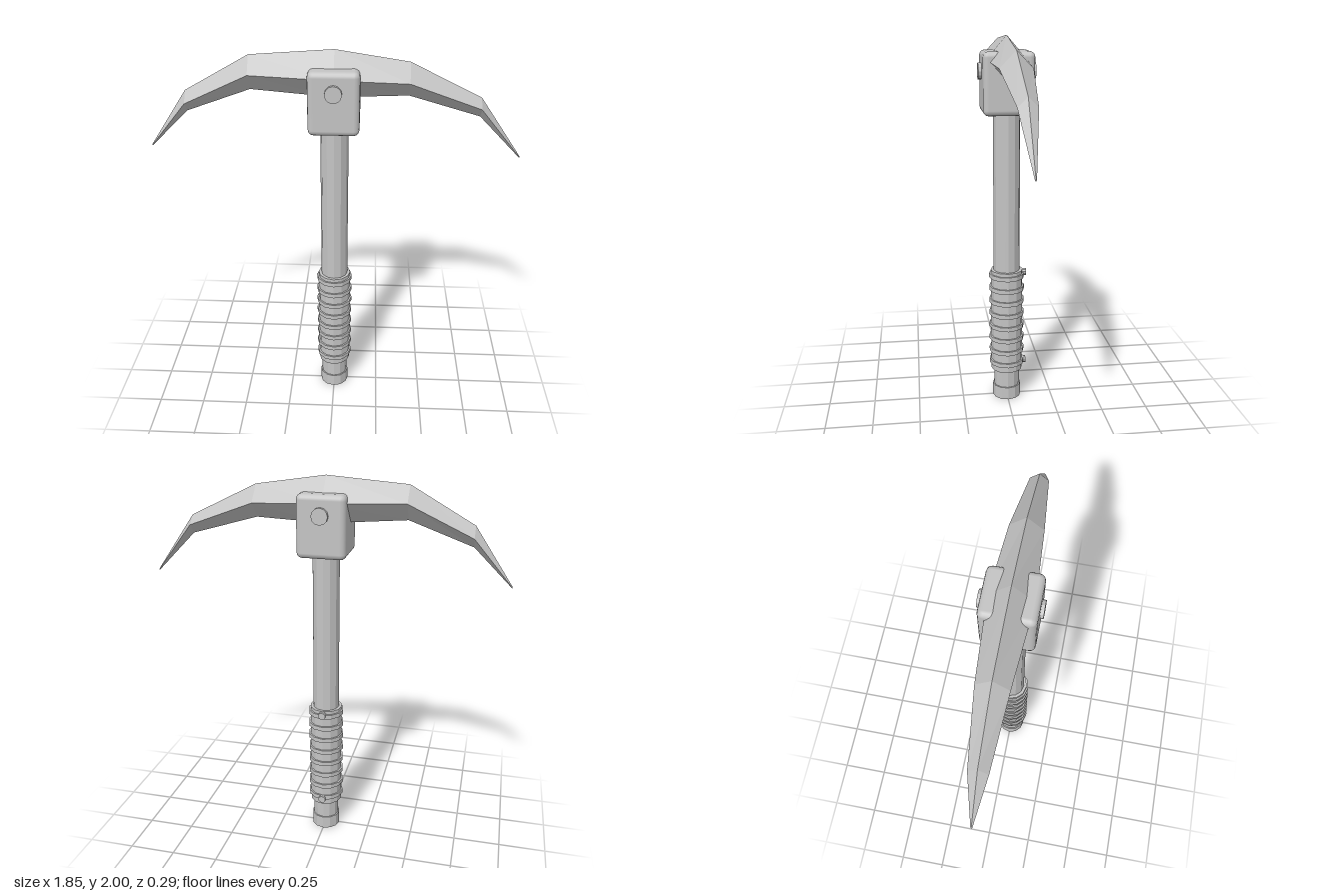
import * as THREE from 'three';
import { RoundedBoxGeometry } from 'three/addons/geometries/RoundedBoxGeometry.js';

const steel = new THREE.MeshStandardMaterial({ color: 0xc4c4c4 });
steel.name = 'steelGrey';

// Diamond sections along x: [x, top y, middle y, bottom y, half depth]
const SECTIONS = [
  [-0.925, 1.505, 1.5, 1.495, 0.004],
  [-0.73, 1.79, 1.735, 1.685, 0.046],
  [-0.41, 1.97, 1.89, 1.8, 0.075],
  [0, 2.0, 1.88, 1.765, 0.104],
  [0.36, 1.945, 1.862, 1.78, 0.08],
  [0.71, 1.775, 1.73, 1.68, 0.046],
  [0.925, 1.475, 1.47, 1.465, 0.004],
];

function pickGeometry() {
  const rings = SECTIONS.map(([x, top, mid, low, d]) => [
    [x, top, 0], [x, mid, d], [x, low, 0], [x, mid, -d],
  ]);
  const pos = [];
  const quad = (a, b, c, d) => pos.push(...a, ...b, ...c, ...a, ...c, ...d);
  for (let i = 0; i < rings.length - 1; i++) {
    for (let j = 0; j < 4; j++) {
      const k = (j + 1) % 4;
      quad(rings[i][j], rings[i][k], rings[i + 1][k], rings[i + 1][j]);
    }
  }
  // Tiny end caps
  const first = rings[0], last = rings[rings.length - 1];
  quad(first[3], first[2], first[1], first[0]);
  quad(last[0], last[1], last[2], last[3]);
  const geo = new THREE.BufferGeometry();
  geo.setAttribute('position', new THREE.Float32BufferAttribute(pos, 3));
  geo.computeVertexNormals();
  return geo;
}

// Faceted cylinder with flat normals
function faceted(radius, height, sides) {
  const geo = new THREE.CylinderGeometry(radius, radius, height, sides).toNonIndexed();
  geo.computeVertexNormals();
  return geo;
}

export function createModel() {
  const model = new THREE.Group();
  model.name = 'pickaxe';

  const add = (name, geo, x, y, z) => {
    const mesh = new THREE.Mesh(geo, steel);
    mesh.name = name;
    mesh.position.set(x, y, z);
    model.add(mesh);
    return mesh;
  };
  const upright = (name, radius, y0, y1) =>
    add(name, faceted(radius, y1 - y0, 12), 0, (y0 + y1) / 2, 0);

  // Handle
  upright('shaft', 0.071, 0.03, 1.65);
  upright('pommel', 0.078, 0, 0.072);
  upright('grip', 0.087, 0.17, 0.76);
  for (let i = 0; i < 8; i++) {
    const y = 0.217 + i * 0.0732;
    upright('gripRib', 0.096, y - 0.012, y + 0.012);
  }

  // Rivets on the back of the grip
  for (const y of [0.21, 0.74]) {
    add('gripRivet', faceted(0.02, 0.03, 10), 0, y, -0.091).rotation.x = Math.PI / 2;
  }

  // Head block, cross bolt and curved pick
  add('headBlock', new RoundedBoxGeometry(0.25, 0.315, 0.26, 2, 0.028), 0, 1.767, 0);
  add('crossBolt', faceted(0.042, 0.294, 12), 0, 1.825, 0).rotation.x = Math.PI / 2;
  add('pickBlade', pickGeometry(), 0, 0, 0);

  return model;
}
